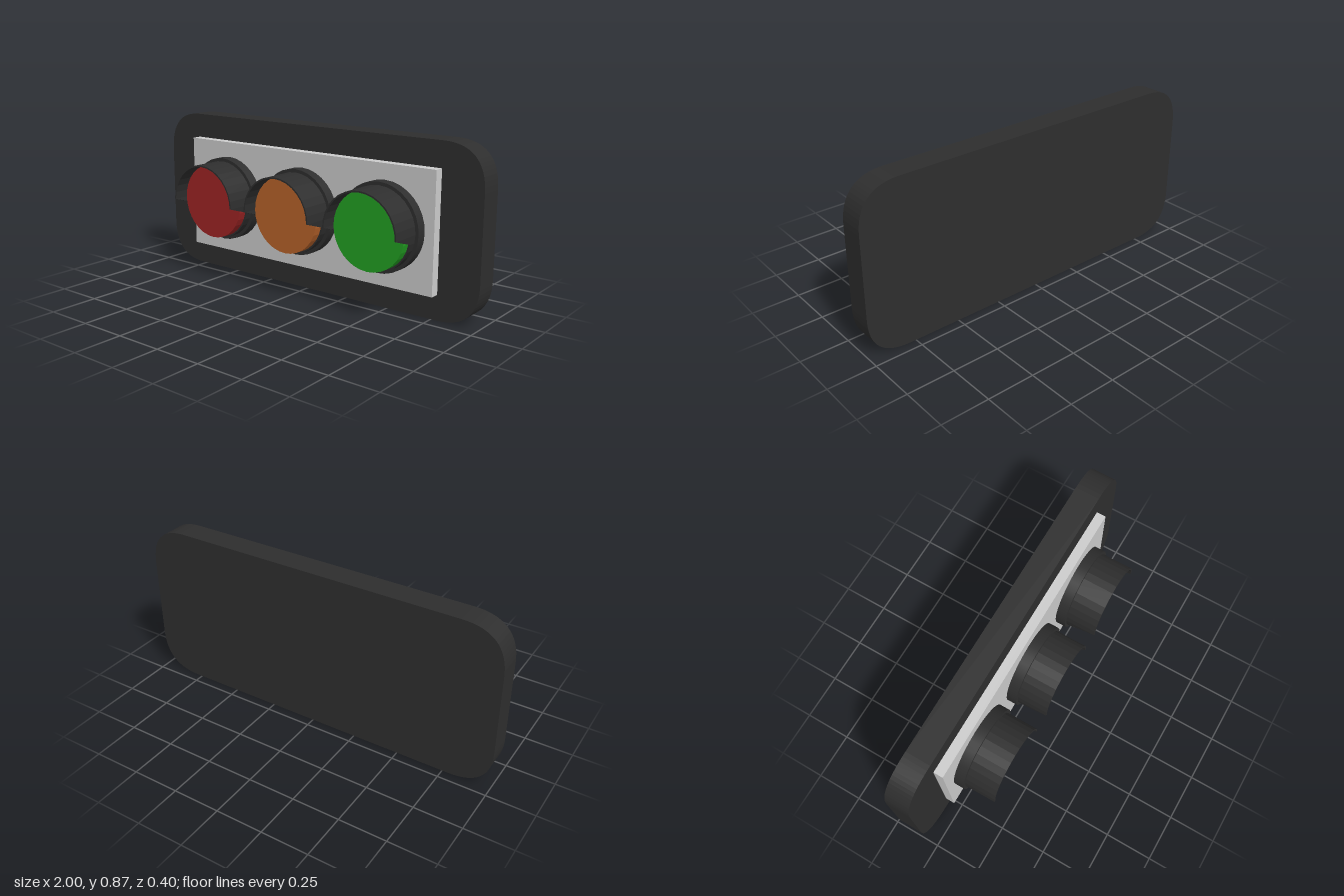
import * as THREE from 'three';

const CY = 0.435; // height of the panel and lamp centres
const SIDES = 32;

const mat = (color, extra = {}) => new THREE.MeshStandardMaterial({ color, ...extra });

function add(parent, name, geometry, material, x = 0, y = 0, z = 0) {
  const mesh = new THREE.Mesh(geometry, material);
  mesh.name = name;
  mesh.position.set(x, y, z);
  parent.add(mesh);
  return mesh;
}

// Rounded plate, width w, height h, standing on y = 0
function plateShape(w, h, r) {
  const s = new THREE.Shape();
  const a = w / 2;
  s.moveTo(-a + r, 0);
  s.lineTo(a - r, 0);
  s.quadraticCurveTo(a, 0, a, r);
  s.lineTo(a, h - r);
  s.quadraticCurveTo(a, h, a - r, h);
  s.lineTo(-a + r, h);
  s.quadraticCurveTo(-a, h, -a, h - r);
  s.lineTo(-a, r);
  s.quadraticCurveTo(-a, 0, -a + r, 0);
  return s;
}

// Disc along z between two depths
function disc(radius, back, front) {
  return new THREE.CylinderGeometry(radius, radius, front - back, SIDES)
    .rotateX(Math.PI / 2)
    .translate(0, 0, (back + front) / 2);
}

// Thin tube whose upper half reaches forward as a hood
function visorGeometry(inner, outer, back, lowFront, hoodFront) {
  const profile = [[inner, back], [outer, back], [outer, hoodFront], [inner, hoodFront], [inner, back]]
    .map(([r, d]) => new THREE.Vector2(r, d));
  const geo = new THREE.LatheGeometry(profile, SIDES).rotateX(Math.PI / 2);
  const p = geo.attributes.position;
  for (let i = 0; i < p.count; i++) {
    if (p.getZ(i) > lowFront && p.getY(i) < -0.001) p.setZ(i, lowFront);
  }
  geo.computeVertexNormals();
  return geo;
}

export function createModel() {
  const model = new THREE.Group();
  model.name = 'trafficLight';
  const dark = mat(0x2e2e2e);
  const darkFlat = mat(0x2e2e2e, { flatShading: true, side: THREE.DoubleSide });

  // Back board and mounting panel
  const board = new THREE.ExtrudeGeometry(plateShape(2, 0.87, 0.22),
    { depth: 0.13, bevelEnabled: false, curveSegments: 16 });
  add(model, 'backBoard', board, dark, 0, 0, -0.2);
  add(model, 'panel', new THREE.BoxGeometry(1.56, 0.61, 0.05), mat(0xcccccc), 0, CY, -0.045);

  // Three lamps: base ring, hooded visor and coloured lens
  const lamps = [['red', -0.505, 0x9e2424], ['amber', 0, 0xb8632a], ['green', 0.505, 0x22a022]];
  for (const [name, x, color] of lamps) {
    const lamp = new THREE.Group();
    lamp.name = name + 'Lamp';
    lamp.position.set(x, CY, 0);
    add(lamp, 'baseRing', disc(0.225, -0.02, 0.035), dark);
    add(lamp, 'visor', visorGeometry(0.2, 0.208, 0.03, 0.075, 0.2), darkFlat);
    add(lamp, 'lens', disc(0.199, 0.03, 0.12), mat(color, { flatShading: true }));
    model.add(lamp);
  }
  return model;
}
